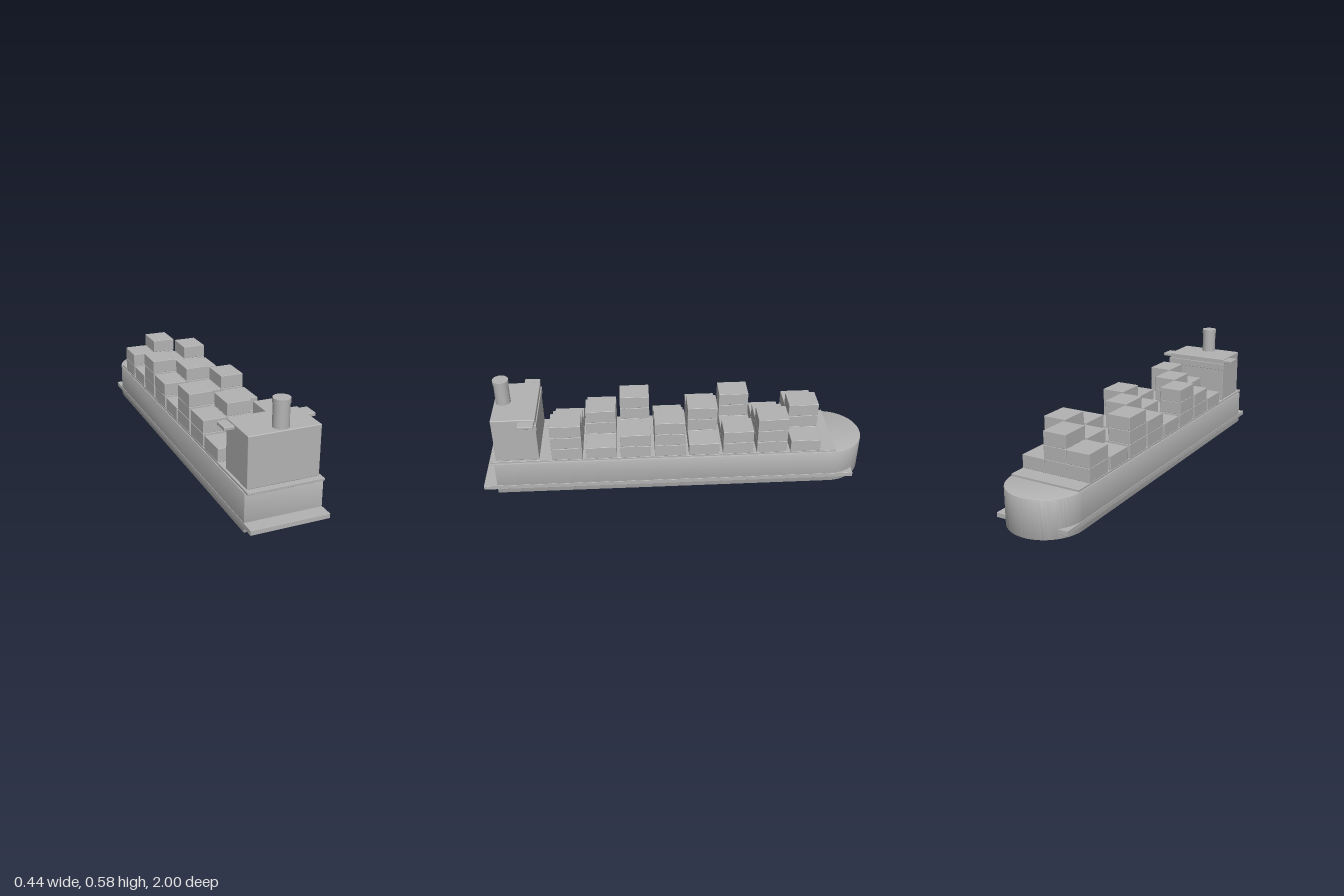
import * as THREE from 'three';
import { RoundedBoxGeometry } from 'three/addons/geometries/RoundedBoxGeometry.js';
import { toCreasedNormals } from 'three/addons/utils/BufferGeometryUtils.js';

export function createModel() {
  const ship = new THREE.Group();
  ship.name = 'containerShip';
  const grey = new THREE.MeshStandardMaterial({ color: 0xb3b3b3 });
  grey.name = 'paintedSteelGrey';

  function add(name, geometry, parent = ship) {
    const mesh = new THREE.Mesh(geometry, grey);
    mesh.name = name;
    parent.add(mesh);
    return mesh;
  }

  // Softened box given by its extents; x is symmetric unless cx is set
  function block(name, halfX, [y0, y1], [z0, z1], radius, parent = ship, cx = 0) {
    const mesh = add(name, new RoundedBoxGeometry(halfX * 2, y1 - y0, z1 - z0, 2, radius), parent);
    mesh.position.set(cx, (y0 + y1) / 2, (z0 + z1) / 2);
    return mesh;
  }

  // Hull: square stern, semicircular bow toward -z, small bevel all round
  const bevel = 0.005;
  const half = 0.19 - bevel;
  const outline = new THREE.Shape();
  outline.moveTo(-half, -0.93 + bevel);
  outline.lineTo(half, -0.93 + bevel);
  outline.lineTo(half, 0.81);
  outline.absarc(0, 0.81, half, 0, Math.PI, false);
  outline.closePath();
  const hull = new THREE.ExtrudeGeometry(outline, {
    depth: 0.19 - 2 * bevel, bevelEnabled: true, bevelSize: bevel,
    bevelThickness: bevel, bevelSegments: 2, curveSegments: 48,
  });
  hull.rotateX(-Math.PI / 2).translate(0, bevel, 0);
  add('hull', toCreasedNormals(hull, 0.6));

  // Waterline belt and deck plate
  block('waterlineBelt', 0.192, [0.027, 0.05], [-0.935, 1.0], 0.001);
  block('deck', 0.185, [0.188, 0.2], [-0.83, 0.95], 0.001);

  // Container stacks: three columns, eight bays, one to three high in a rolling pattern
  const containers = new THREE.Group();
  containers.name = 'containers';
  ship.add(containers);
  for (let bay = 0; bay < 8; bay++) {
    const z = 0.557 - bay * 0.175;
    for (let column = 0; column < 3; column++) {
      const height = ((bay + column) % 3) + 1;
      for (let level = 0; level < height; level++) {
        const y = 0.2 + level * 0.068;
        block('container', 0.061, [y, y + 0.067], [z - 0.0775, z + 0.0775], 0.002,
          containers, (column - 1) * 0.123);
      }
    }
  }

  // Deckhouse, window band on its forward face, and bridge wings
  block('deckhouse', 0.174, [0.199, 0.445], [0.7, 0.92], 0.004);
  block('bridgeWindowBand', 0.178, [0.38, 0.417], [0.695, 0.71], 0.002);
  block('bridgeWings', 0.222, [0.421, 0.438], [0.705, 0.785], 0.003);

  // Funnel with a slightly wider cap
  const funnel = add('funnel', new THREE.CylinderGeometry(0.037, 0.038, 0.112, 32));
  funnel.position.set(0, 0.5, 0.873);
  const cap = add('funnelCap', new THREE.CylinderGeometry(0.04, 0.04, 0.023, 32));
  cap.position.set(0, 0.5655, 0.873);

  return ship;
}
